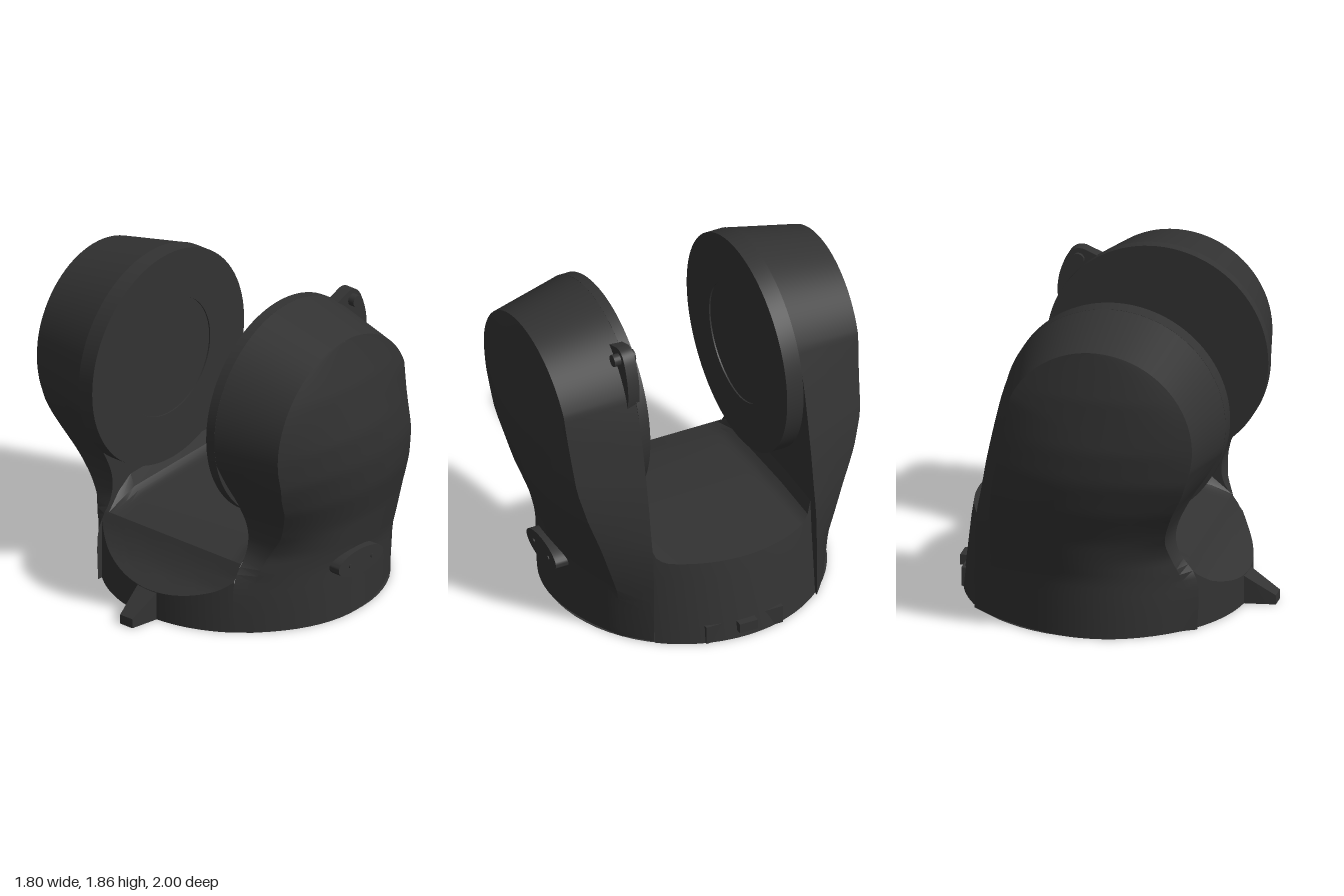
import * as THREE from 'three';
import { toCreasedNormals } from 'three/addons/utils/BufferGeometryUtils.js';

const dark = new THREE.MeshStandardMaterial({ color: 0x333333, side: THREE.DoubleSide });
const CX = 0.07, CZ = 0.02, R = 0.8;         // base circle
const HX = -0.1, HY = 1.23;                  // pivot of the arms

// Linear lookup in a list of [key, value] pairs
function lookup(table, t) {
  if (t <= table[0][0]) return table[0][1];
  for (let i = 1; i < table.length; i++) {
    const [a, va] = table[i - 1], [b, vb] = table[i];
    if (t <= b) return va + (vb - va) * (t - a) / (b - a);
  }
  return table[table.length - 1][1];
}

// Skin over cross-sections with equal point counts
function loft(sections, { flip = false, closed = true, crease = 0.4 } = {}) {
  const n = sections[0].length, index = [];
  for (let i = 0; i < sections.length - 1; i++) {
    for (let j = 0; j < (closed ? n : n - 1); j++) {
      const a = i * n + j, b = i * n + (j + 1) % n, c = a + n, d = b + n;
      if (flip) index.push(a, c, b, b, c, d);
      else index.push(a, b, c, b, d, c);
    }
  }
  const g = new THREE.BufferGeometry();
  g.setAttribute('position', new THREE.Float32BufferAttribute(sections.flat(2), 3));
  g.setIndex(index);
  return toCreasedNormals(g, crease);
}

function add(parent, name, geometry, x = 0, y = 0, z = 0) {
  const mesh = new THREE.Mesh(geometry, dark);
  mesh.name = name;
  mesh.position.set(x, y, z);
  parent.add(mesh);
}

// One side of an arm outline: a curve up from the ground, then an arc to the apex
function side(points, radius, startDeg) {
  const arc = THREE.MathUtils.degToRad(startDeg);
  const on = a => new THREE.Vector2(HX + radius * Math.cos(a), HY + radius * Math.sin(a));
  const lower = new THREE.SplineCurve([...points.map(p => new THREE.Vector2(...p)), on(arc)]).getPoints(28);
  for (let i = 1; i <= 24; i++) lower.push(on(arc + (Math.PI / 2 - arc) * i / 24));
  return lower;
}

// Outline at the inner face, and the seam around the outer face
const outline = {
  left: side([[-0.57, 0], [-0.57, 0.29], [-0.465, 0.46], [-0.455, 0.6], [-0.53, 0.77], [-0.63, 0.93]], 0.631, 194),
  right: side([[0.7, 0], [0.7, 0.3], [0.69, 0.54], [0.66, 0.72], [0.62, 0.95], [0.54, 1.3]], 0.631, 28),
};
const seam = {
  left: side([[-0.5, 0], [-0.5, 0.29], [-0.45, 0.46], [-0.44, 0.6], [-0.495, 0.77], [-0.57, 0.93]], 0.54, 194),
  right: side([[0.57, 0], [0.57, 0.3], [0.56, 0.5], [0.54, 0.72], [0.5, 0.95], [0.43, 1.25]], 0.54, 24),
};
const leftZ = [[0, 0.58], [0.3, 0.585], [0.46, 0.64], [0.6, 0.73], [0.8, 0.82], [1, 0.87], [1.4, 0.9], [1.77, 0.92]];
const rightZ = [[0, 0.64], [0.3, 0.66], [0.6, 0.75], [0.8, 0.82], [1, 0.87], [1.4, 0.9], [1.77, 0.92]];
const peakZ = [[0, 0.82], [0.35, 0.83], [0.6, 0.88], [0.8, 0.945], [1, 0.985], [1.2, 1], [1.5, 0.975], [1.77, 0.92]];

function armGeometry(s) {
  const shift = y => (s < 0 ? 0.04 * Math.max(0, 1 - y) : 0);
  const sections = outline.left.map((pl, k) => {
    const pr = outline.right[k], ql = seam.left[k], qr = seam.right[k];
    const row = [[pl.x, pl.y, s * 0.5]];
    const N = 16;
    for (let j = 0; j <= N; j++) {
      const t = j / N, u = 2 * t - 1;
      const x = ql.x + (qr.x - ql.x) * t, y = ql.y + (qr.y - ql.y) * t;
      const z0 = lookup(leftZ, y) * (1 - t) + lookup(rightZ, y) * t;
      row.push([x, y, s * (z0 + (lookup(peakZ, y) - z0) * (1 - u * u) - shift(y))]);
    }
    row.push([pr.x, pr.y, s * 0.5]);
    return row;
  });
  return loft(sections, { flip: s < 0 });
}

// Round pad on the inner face of an arm, with a shallow round recess
function addPad(group, s, inner) {
  const depth = 0.5 - inner;
  const ring = new THREE.Shape().absarc(0, 0, 0.632, 0, Math.PI * 2);
  ring.holes.push(new THREE.Path().absarc(0, 0, 0.35, 0, Math.PI * 2, true));
  const g = new THREE.ExtrudeGeometry(ring, { depth, bevelEnabled: false, curveSegments: 48 });
  add(group, 'pivotPad', toCreasedNormals(g, 0.5), HX, HY, s > 0 ? inner : -0.5);
  const disc = new THREE.CylinderGeometry(0.35, 0.35, depth - 0.008, 48).rotateX(Math.PI / 2);
  add(group, 'pivotDisc', disc, HX, HY, s * (0.5 - (depth - 0.008) / 2));
}

// Middle of the base: steep slope on one side, then a gently rising floor with rounded sides
function baseGeometry() {
  const top = [[-0.75, 0.15], [-0.62, 0.25], [-0.56, 0.32], [-0.51, 0.4], [-0.3, 0.46], [0.3, 0.5]];
  const round = [[-0.51, 0], [-0.3, 1]];
  const sections = [];
  const N = 36;
  for (let i = 0; i <= N; i++) {
    const z = -0.5 + i / N;
    const half = Math.sqrt(R * R - (z - CZ) ** 2);
    const xl = CX - half, xr = CX + half;
    const d = Math.max(0, Math.abs(z) - 0.4);
    const fillet = 0.1 - Math.sqrt(Math.max(0, 0.01 - d * d)) + 0.02 * z;
    const xs = [-0.4, -0.3, 0.3, xr - 0.06];
    for (let j = 8; j >= 0; j--) xs.unshift(xl + (-0.51 - xl) * j / 8);
    sections.push([
      [xl, 0, z],
      ...xs.map(x => [x, lookup(top, x) + fillet * lookup(round, x), z]),
      [xr - 0.045, 0.4, z],
      [xr, 0, z],
    ]);
  }
  return loft(sections, { flip: true, closed: false });
}

export function createModel() {
  const model = new THREE.Group();
  model.name = 'yoke';

  // Arms with their pivot pads
  for (const [s, name, inner] of [[1, 'frontArm', 0.44], [-1, 'backArm', 0.4]]) {
    const arm = new THREE.Group();
    arm.name = name;
    add(arm, name + 'Shell', armGeometry(s));
    addPad(arm, s, inner);
    model.add(arm);
  }

  // Base and its bottom plate with a round opening
  add(model, 'baseFloor', baseGeometry());
  const plate = new THREE.RingGeometry(0.36, R, 64).rotateX(Math.PI / 2);
  add(model, 'bottomPlate', plate, CX, 0.002, CZ);

  // Tapered pointer at the foot
  const pointer = [[-0.66, 0.21, 0.075], [-0.74, 0.155, 0.07], [-0.9, 0.055, 0.045]].map(([x, y, w]) =>
    [[x, 0, -w], [x, y, -w], [x, y, w], [x, 0, w]]);
  pointer.push(pointer[2].map(() => [-0.905, 0.025, 0]));
  add(model, 'pointer', loft(pointer, { flip: true }));

  // Oval plate with two screws on the front
  const oval = new THREE.Shape().absellipse(0, 0, 0.185, 0.075, 0, Math.PI * 2);
  const ovalGeo = new THREE.ExtrudeGeometry(oval, { depth: 0.1, bevelEnabled: false, curveSegments: 32 });
  add(model, 'ovalPlate', toCreasedNormals(ovalGeo, 0.5), 0.06, 0.335, 0.78);
  for (const x of [-0.03, 0.15]) {
    add(model, 'plateScrew', new THREE.CylinderGeometry(0.012, 0.012, 0.01, 12).rotateX(Math.PI / 2), x, 0.335, 0.882);
  }

  // Latch lug with its screw on the front arm
  const lug = new THREE.Shape();
  lug.moveTo(0.22, 1.74);
  lug.lineTo(0.33, 1.785);
  lug.quadraticCurveTo(0.4, 1.8, 0.435, 1.72);
  lug.quadraticCurveTo(0.5, 1.58, 0.47, 1.45);
  lug.lineTo(0.35, 1.45);
  const lugGeo = new THREE.ExtrudeGeometry(lug, { depth: 0.07, bevelEnabled: false, curveSegments: 10 });
  add(model, 'latchLug', toCreasedNormals(lugGeo, 0.5), 0, 0, 0.48);
  add(model, 'latchScrew', new THREE.CylinderGeometry(0.035, 0.035, 0.13, 20).rotateX(Math.PI / 2), 0.36, 1.725, 0.525);

  // Connector plate and small knob at the foot
  add(model, 'connectorPlate', new THREE.BoxGeometry(0.05, 0.11, 0.47), 0.822, 0.056, 0.015);
  add(model, 'connectorKnob', new THREE.BoxGeometry(0.06, 0.06, 0.11), 0.87, 0.08, 0.015);
  return model;
}
